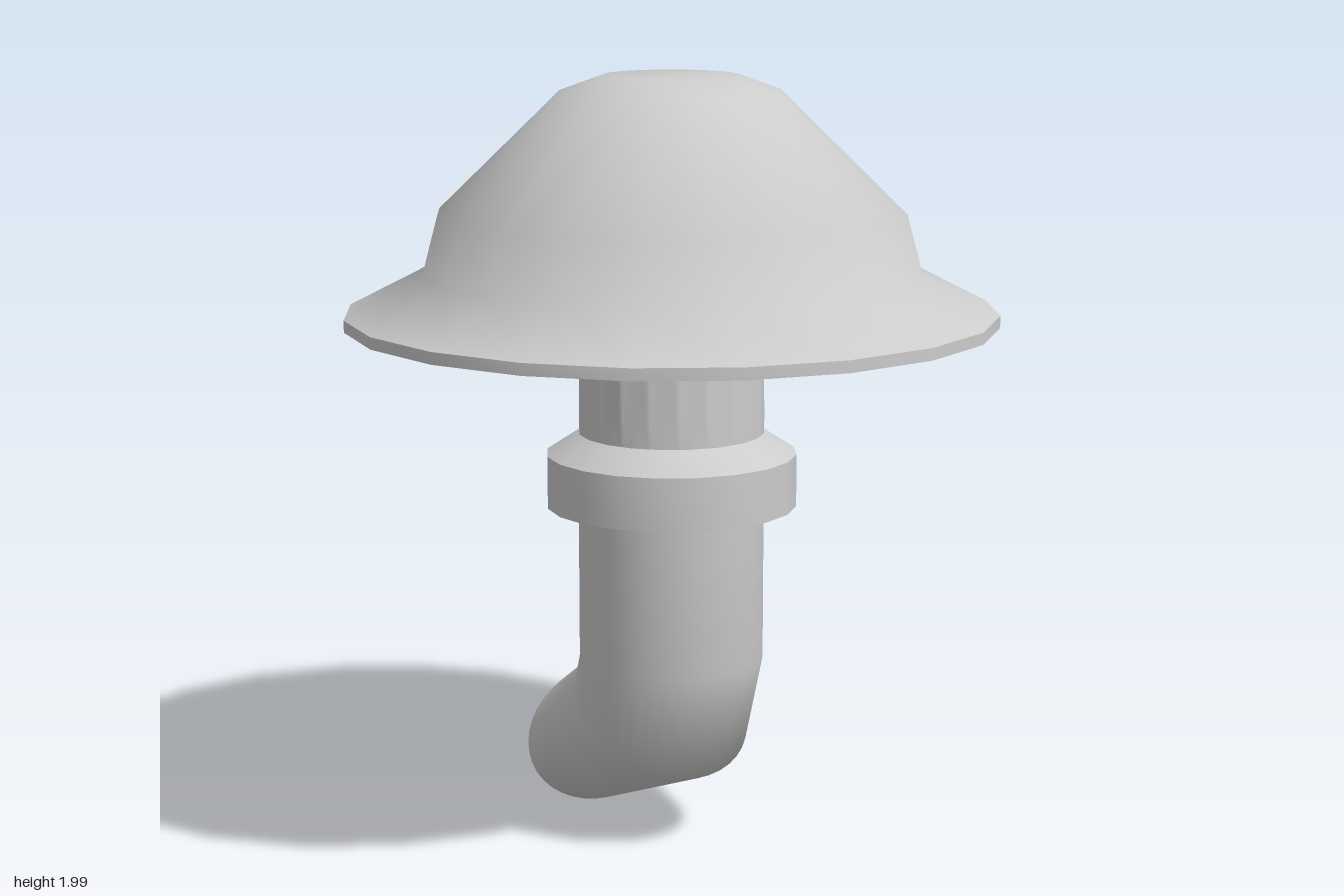
import * as THREE from 'three';
import { toCreasedNormals } from 'three/addons/utils/BufferGeometryUtils.js';

const SIDES = 20, STEM = 0.237;

function material(flatShading = false) {
  return new THREE.MeshStandardMaterial({ color: 0xcccccc, side: THREE.DoubleSide, flatShading });
}

// Skin a list of closed rings (each an array of [x, y, z]) with quads.
function loft(rings) {
  const n = rings[0].length, index = [];
  for (let i = 0; i < rings.length - 1; i++) {
    for (let j = 0; j < n; j++) {
      const a = i * n + j, b = i * n + (j + 1) % n;
      index.push(a, b, a + n, b, b + n, a + n);
    }
  }
  const geometry = new THREE.BufferGeometry();
  geometry.setAttribute('position', new THREE.Float32BufferAttribute(rings.flat(2), 3));
  geometry.setIndex(index);
  geometry.computeVertexNormals();
  return geometry;
}

function lathe(profile, crease) {
  const points = profile.map(([r, y]) => new THREE.Vector2(r, y));
  return toCreasedNormals(new THREE.LatheGeometry(points, SIDES), crease);
}

// Tilted pipe ring given its front and back points as [z, y].
function pipeRing(front, back, n = SIDES * 2) {
  return Array.from({ length: n }, (_, j) => {
    const a = j / n * Math.PI * 2, t = (1 - Math.cos(a)) / 2;
    return [STEM * Math.sin(a),
      THREE.MathUtils.lerp(front[1], back[1], t),
      THREE.MathUtils.lerp(front[0], back[0], t)];
  });
}

// Saw-tooth ring: each sector has two valley columns and one ridge column.
function gillRing([valleyR, valleyY], [ridgeR, ridgeY]) {
  const ring = [], sector = Math.PI * 2 / SIDES;
  for (let s = 0; s < SIDES; s++) {
    for (const [t, ridge] of [[0, false], [0.5, true], [0.64, false]]) {
      const a = (s + t) * sector;
      // keep the points on the straight edges of the faceted rim
      const r = (ridge ? ridgeR : valleyR) * Math.cos(sector / 2) / Math.cos((t - 0.5) * sector);
      ring.push([r * Math.sin(a), ridge ? ridgeY : valleyY, r * Math.cos(a)]);
    }
  }
  return ring;
}

export function createModel() {
  const model = new THREE.Group();
  const add = (name, geometry, flat) => {
    const mesh = new THREE.Mesh(geometry, material(flat));
    mesh.name = name;
    model.add(mesh);
  };

  // Domed cap with a flared brim and a thin upright rim
  add('cap', lathe([
    [0.825, 1.38], [0.825, 1.41], [0.63, 1.51], [0.59, 1.66],
    [0.28, 1.96], [0.17, 2], [0, 2],
  ], 0.95));

  // Radial gills lining the hollow underside of the cap
  add('gills', loft([
    gillRing([0.23, 1.56], [0.23, 1.51]),
    gillRing([0.45, 1.49], [0.45, 1.43]),
    gillRing([0.72, 1.41], [0.7, 1.362]),
    gillRing([0.825, 1.38], [0.825, 1.38]),
  ]), true);

  // Upper stem, its flutes fading out downwards
  add('flutedStem', loft([
    gillRing([STEM, 1.05], [STEM, 1.05]),
    gillRing([STEM, 1.17], [STEM, 1.17]),
    gillRing([STEM - 0.012, 1.56], [STEM + 0.002, 1.56]),
  ]));

  // Collar with a sloped shoulder
  add('collar', lathe([
    [0.23, 0.91], [0.32, 0.91], [0.32, 1.045], [0.235, 1.1],
  ], 0.5));

  // Lower stem bending into an open spout at the back
  add('bentPipe', loft([
    pipeRing([-0.36, 0.01], [-0.36, 0.4]),
    pipeRing([0.135, 0.21], [-0.25, 0.48]),
    pipeRing([STEM, 0.51], [-STEM, 0.51]),
    pipeRing([STEM, 1.06], [-STEM, 1.06]),
  ]));

  return model;
}
